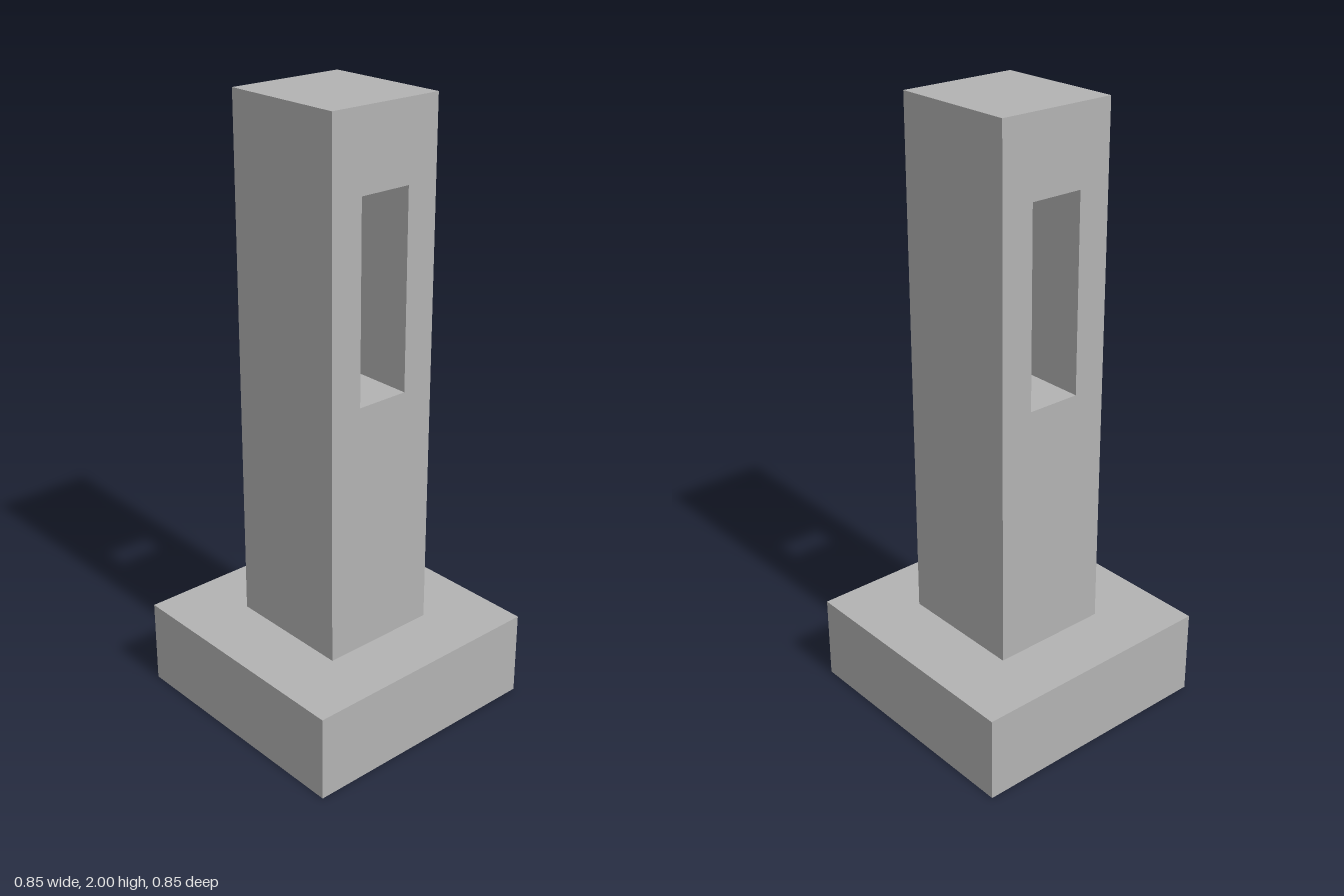
import * as THREE from 'three';

// Rectangle corners, used for the post outline and its slot
const rect = (x, y0, y1) => [[-x, y0], [x, y0], [x, y1], [-x, y1]].map(([a, b]) => new THREE.Vector2(a, b));

export function createModel() {
  const group = new THREE.Group();
  group.name = 'slottedPost';
  const grey = new THREE.MeshStandardMaterial({ color: 0xb3b3b3 });
  grey.name = 'grey';

  const baseHeight = 0.284;
  const postDepth = 0.428;

  // Square plinth
  const base = new THREE.Mesh(new THREE.BoxGeometry(0.852, baseHeight, 0.852), grey);
  base.name = 'base';
  base.position.y = baseHeight / 2;
  group.add(base);

  // Post with a rectangular slot running front to back
  const outline = new THREE.Shape(rect(0.2, baseHeight, 2));
  outline.holes.push(new THREE.Path(rect(0.09, 1.113, 1.75)));
  const post = new THREE.Mesh(
    new THREE.ExtrudeGeometry(outline, { depth: postDepth, bevelEnabled: false }), grey);
  post.name = 'post';
  post.position.z = -postDepth / 2;
  group.add(post);

  return group;
}
